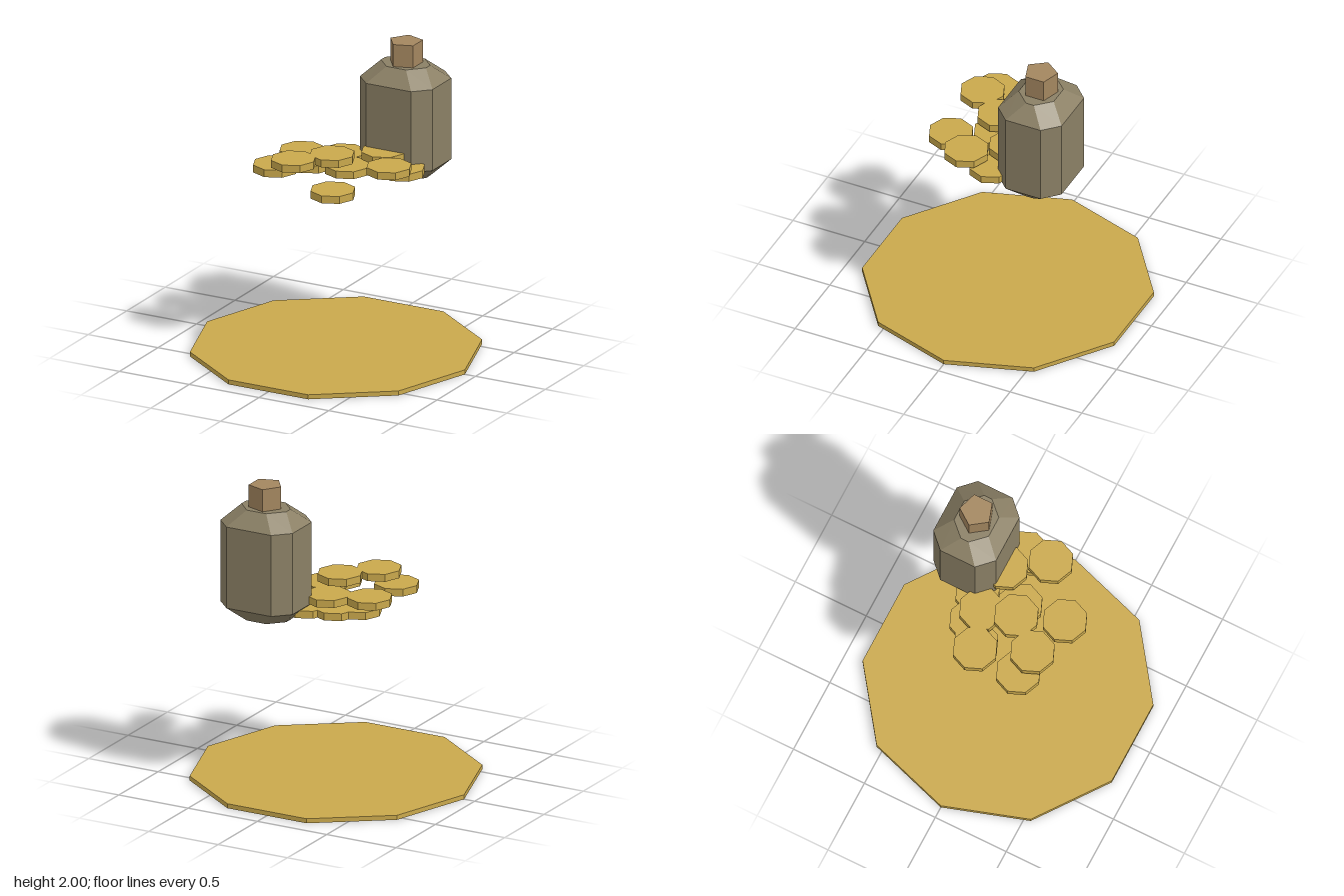
import * as THREE from 'three';

const mat = (name, color) => {
  const m = new THREE.MeshStandardMaterial({ color, flatShading: true });
  m.name = name;
  return m;
};

// Flat prism with its first corner on the given side of the x axis
function prism(name, material, radius, sides, y0, y1, x, z, turn = 0) {
  const geo = new THREE.CylinderGeometry(radius, radius, y1 - y0, sides);
  geo.rotateY(Math.PI / 2 + turn);
  const mesh = new THREE.Mesh(geo, material);
  mesh.name = name;
  mesh.position.set(x, (y0 + y1) / 2, z);
  return mesh;
}

// Eight-cornered ring: long and short corner offsets, mirrored to four quadrants
function ring(y, ax, az, bx, bz) {
  return [[ax, az], [bx, bz], [-bx, bz], [-ax, az], [-ax, -az], [-bx, -bz], [bx, -bz], [ax, -az]]
    .map(([x, z]) => [x, y, z]);
}

// Skin a stack of rings and close both ends
function loft(rings) {
  const pos = [];
  const tri = (...corners) => corners.forEach((c) => pos.push(...c));
  const n = rings[0].length;
  const bottom = rings[0], top = rings[rings.length - 1];
  for (let i = 0; i < n; i++) {
    const j = (i + 1) % n;
    for (let k = 0; k < rings.length - 1; k++) {
      const a = rings[k][i], b = rings[k][j], c = rings[k + 1][j], d = rings[k + 1][i];
      tri(a, d, c);
      tri(a, c, b);
    }
    tri([0, top[0][1], 0], top[j], top[i]);
    tri([0, bottom[0][1], 0], bottom[i], bottom[j]);
  }
  const geo = new THREE.BufferGeometry();
  geo.setAttribute('position', new THREE.Float32BufferAttribute(pos, 3));
  geo.computeVertexNormals();
  return geo;
}

export function createModel() {
  const model = new THREE.Group();
  model.name = 'coinSackAndPlate';
  const gold = mat('gold', 0xc9a84c);
  const cloth = mat('greyBrown', 0x8b8065);
  const tan = mat('tan', 0xa3865f);

  // Base plate
  model.add(prism('basePlate', gold, 0.924, 10, 0, 0.03, 0, 0));

  // Sack body with bevelled shoulders and foot
  const sack = new THREE.Group();
  sack.name = 'sack';
  sack.position.set(0.293, 0, -0.373);
  const small = [0.161, 0.027, 0.07, 0.122];
  const large = [0.26, 0.122, 0.161, 0.221];
  const body = new THREE.Mesh(loft([
    ring(1.118, ...small), ring(1.215, ...large), ring(1.755, ...large), ring(1.853, ...small),
  ]), cloth);
  body.name = 'sackBody';
  sack.add(body);

  // Five-sided neck, pointing to -x
  sack.add(prism('sackNeck', tan, 0.109, 5, 1.85, 2, 0.002, 0.002, Math.PI));
  model.add(sack);

  // Coins in three layers: base height and [x, z] centres
  const layers = [
    [1.155, [[-0.23, -0.108], [0.155, 0.322], [0.07, -0.25], [-0.11, -0.2]]],
    [1.22, [[-0.307, 0.23], [-0.29, -0.083], [-0.037, -0.168], [0.1, 0.035], [0.426, -0.09]]],
    [1.285, [[-0.164, 0.257], [0.003, 0.057], [0.426, 0.084], [0.26, -0.148]]],
  ];
  const coins = new THREE.Group();
  coins.name = 'coins';
  for (const [y, centres] of layers) {
    for (const [x, z] of centres) coins.add(prism('coin', gold, 0.146, 8, y, y + 0.049, x, z));
  }
  model.add(coins);
  return model;
}
